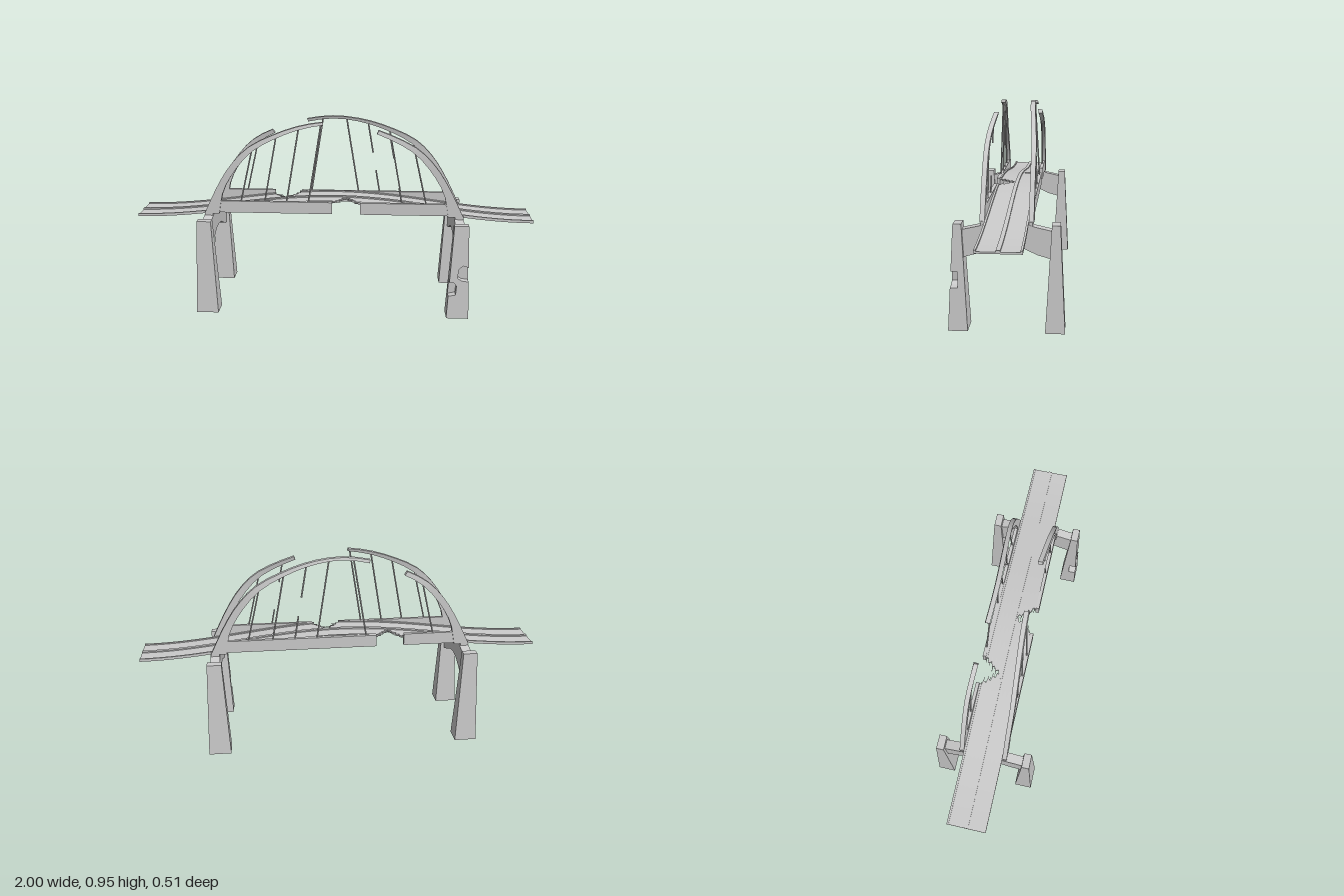
import * as THREE from 'three';

const grey = new THREE.MeshStandardMaterial({ color: 0xcccccc });
const lerp = THREE.MathUtils.lerp;
const SIDES = [1, -1];

// A subdivided box whose unit coordinates (u, v, w) are remapped to [x, y, z].
function bentBox(nx, nz, map) {
  const geo = new THREE.BoxGeometry(1, 1, 1, nx, 1, nz);
  const p = geo.attributes.position;
  for (let i = 0; i < p.count; i++) {
    p.setXYZ(i, ...map(p.getX(i) + 0.5, p.getY(i) + 0.5, p.getZ(i) + 0.5));
  }
  geo.computeVertexNormals();
  return geo;
}

function add(parent, name, geo) {
  const mesh = new THREE.Mesh(geo, grey);
  mesh.name = name;
  parent.add(mesh);
  return mesh;
}

function box(x0, x1, y0, y1, z0, z1) {
  return new THREE.BoxGeometry(x1 - x0, y1 - y0, z1 - z0)
    .translate((x0 + x1) / 2, (y0 + y1) / 2, (z0 + z1) / 2);
}

function rod(a, b, radius) {
  const dir = new THREE.Vector3().subVectors(b, a);
  const geo = new THREE.CylinderGeometry(radius, radius, dir.length(), 6);
  geo.applyQuaternion(new THREE.Quaternion().setFromUnitVectors(
    new THREE.Vector3(0, 1, 0), dir.clone().normalize()));
  return geo.translate((a.x + b.x) / 2, (a.y + b.y) / 2, (a.z + b.z) / 2);
}

// Road surface height along the bridge.
const deckY = x => 0.463 + 0.0425 * (1 + Math.cos(Math.PI * x));

// Each road half is broken by a ragged V; the front and back breaks are staggered.
const GAP = { 1: 0.065, '-1': -0.245 };
function gapEdge(side, dir, z) {
  const a = Math.abs(z);
  const open = THREE.MathUtils.clamp((a - 0.01) / 0.085, 0, 1);
  const ragged = open > 0 ? 0.012 * Math.sin(a * 310 + dir) : 0;
  return GAP[side] + dir * Math.max(0, 0.07 * open + ragged);
}

// Arch outline, from the foot to the crown, mirrored to the other foot.
function archCurve(half) {
  const pts = [...half.map(([x, y]) => [-x, y]), ...half.slice(0, -1).reverse()];
  return new THREE.CatmullRomCurve3(pts.map(([x, y]) => new THREE.Vector3(x, y, 0)));
}
const outer = archCurve([[0.65, 0.485], [0.58, 0.625], [0.51, 0.735], [0.42, 0.825],
  [0.29, 0.89], [0.15, 0.935], [0, 0.953]]);
const inner = archCurve([[0.575, 0.485], [0.55, 0.6], [0.49, 0.705], [0.40, 0.805],
  [0.28, 0.872], [0.145, 0.92], [0, 0.94]]);
// The arches lean towards each other near the crown.
const archZ = y => 0.106 - 0.028 * Math.max(0, (y - 0.75) / 0.2) ** 2;

function archPiece(t0, t1, side) {
  return bentBox(Math.ceil((t1 - t0) * 26), 1, (u, v, w) => {
    const t = lerp(t0, t1, u);
    const p = (v > 0.5 ? outer : inner).getPoint(t);
    return [p.x, p.y, side * archZ(p.y) + (w - 0.5) * 0.022];
  });
}

// Tapered pier section sizes.
const PIER_H = 0.48, PIER_X = 0.63, PIER_Z = 0.213;
const halfX = y => 0.055 - 0.02 * y / PIER_H;
const depthZ = y => 0.087 - 0.05 * y / PIER_H;

function pier(x, z) {
  const geo = bentBox(1, 1, (u, v, w) => {
    const y = v * PIER_H;
    return [x + (u * 2 - 1) * halfX(y), y, z + (w - 0.5) * depthZ(y)];
  });
  // Remove the bottom face: the piers are open underneath.
  const index = Array.from(geo.index.array);
  index.splice(18, 6);
  geo.setIndex(index);
  geo.clearGroups();
  return geo;
}

// A slice of the damaged pier: an outline in x and y, tapered in depth.
function pierSlice(points, t0, t1) {
  const shape = new THREE.Shape(points.map(([x, y]) => new THREE.Vector2(x, y)));
  const geo = new THREE.ExtrudeGeometry(shape, { depth: 1, bevelEnabled: false });
  const p = geo.attributes.position;
  for (let i = 0; i < p.count; i++) {
    const t = lerp(t0, t1, p.getZ(i));
    p.setZ(i, PIER_Z + (t - 0.5) * depthZ(p.getY(i)));
  }
  geo.computeVertexNormals();
  return geo;
}

export function createModel() {
  const model = new THREE.Group();
  model.name = 'brokenArchBridge';

  // Piers, one of them with two bites out of its front corners
  for (const x of [-PIER_X, PIER_X]) {
    for (const s of SIDES) {
      if (!(x > 0 && s > 0)) add(model, 'pier', pier(x, s * PIER_Z));
    }
  }
  const damaged = new THREE.Group();
  damaged.name = 'damagedPier';
  model.add(damaged);
  const bottom = [[0.575, 0], [0.685, 0]], top = [[0.665, 0.48], [0.595, 0.48]];
  const rightBite = [[0.677, 0.195], [0.642, 0.2], [0.622, 0.213], [0.626, 0.258], [0.645, 0.278], [0.674, 0.27]];
  const leftBite = [[0.583, 0.188], [0.605, 0.19], [0.619, 0.172], [0.616, 0.125], [0.58, 0.118]];
  add(damaged, 'pierBack', pierSlice([...bottom, ...top], 0, 0.5));
  add(damaged, 'pierFront', pierSlice([...bottom, ...rightBite, ...top, ...leftBite], 0.5, 1));

  // Arched crossbeams between the piers, with bearings under the arch feet
  const lower = [[0.195, 0.328], [0.135, 0.345], [0.055, 0.382], [0, 0.39]];
  const upper = [[0.095, 0.478], [0.12, 0.47], [0.2, 0.452]];
  const beamPts = [...lower, ...lower.slice(0, 3).reverse().map(([z, y]) => [-z, y]),
    ...upper.slice().reverse().map(([z, y]) => [-z, y]), ...upper];
  const beamShape = new THREE.Shape(beamPts.map(([z, y]) => new THREE.Vector2(z, y)));
  for (const x of [-PIER_X, PIER_X]) {
    const beam = new THREE.ExtrudeGeometry(beamShape, { depth: 0.046, bevelEnabled: false });
    add(model, 'crossbeam', beam.translate(0, 0, -0.023).rotateY(-Math.PI / 2).translate(x, 0, 0));
    for (const s of SIDES) {
      add(model, 'bearing', box(x - 0.02, x + 0.02, 0.465, 0.49, s * 0.1 - 0.012, s * 0.1 + 0.012));
    }
  }

  // Road: two halves, each split in two by its gap, with raised kerbs
  for (const s of SIDES) {
    for (const d of SIDES) {
      const strip = (name, zA, zB, y0, y1, nz) => {
        add(model, name, bentBox(28, nz, (u, v, w) => {
          const z = lerp(Math.min(s * zA, s * zB), Math.max(s * zA, s * zB), w);
          const edge = gapEdge(s, d, z);
          const x = d > 0 ? lerp(edge, 1, u) : lerp(-1, edge, u);
          return [x, deckY(x) + lerp(y0, y1, v), z];
        }));
      };
      strip('road', 0, 0.095, -0.008, 0, 14);
      strip('edgeKerb', 0.086, 0.095, 0, 0.006, 1);
      strip('centreKerb', 0, 0.009, 0, 0.006, 1);
      // Bare reinforcing rods sticking out of the break
      for (let i = 0; i < 8; i++) {
        const z = s * (0.022 + i * 0.0095);
        const x = gapEdge(s, d, z);
        const length = 0.008 + 0.012 * ((i * 5) % 4) / 3;
        const y = deckY(x) - 0.004;
        add(model, 'reinforcingRod', rod(new THREE.Vector3(x + d * 0.01, y, z),
          new THREE.Vector3(x - d * length, y, z), 0.0013));
      }
    }
    // Side girders
    const z0 = s > 0 ? 0.095 : -0.112;
    add(model, 'girder', box(-0.6, GAP[s] - 0.07, 0.49, 0.55, z0, z0 + 0.017));
    add(model, 'girder', box(GAP[s] + 0.07, 0.6, 0.49, 0.55, z0, z0 + 0.017));
  }

  // Broken arches
  for (const [side, t0, t1] of [[1, 0, 0.472], [1, 0.625, 1], [-1, 0, 0.314], [-1, 0.422, 1]]) {
    add(model, 'arch', archPiece(t0, t1, side));
  }

  // Hangers; a list of [from, to] fractions leaves the snapped ones with gaps
  const heights = { 0.06: 0.935, 0.17: 0.91, 0.28: 0.872, 0.4: 0.808 };
  const whole = [[0, 1]];
  const hangers = [
    [1, -0.4, whole], [1, -0.28, whole], [1, -0.17, whole], [1, -0.06, whole],
    [1, 0.28, [[0, 0.3], [0.75, 1]]], [1, 0.4, whole],
    [-1, -0.4, whole], [-1, -0.06, whole], [-1, 0.06, whole],
    [-1, 0.17, [[0, 0.42], [0.68, 1]]], [-1, 0.28, whole], [-1, 0.4, whole],
  ];
  for (const [side, x, parts] of hangers) {
    const y = heights[Math.abs(x)];
    const a = new THREE.Vector3(x, y + 0.005, side * archZ(y));
    const b = new THREE.Vector3(x + Math.sign(x) * 0.064, 0.545, side * 0.103);
    for (const [f, t] of parts) {
      add(model, 'hanger', rod(a.clone().lerp(b, f), a.clone().lerp(b, t), 0.004));
    }
  }

  return model;
}
